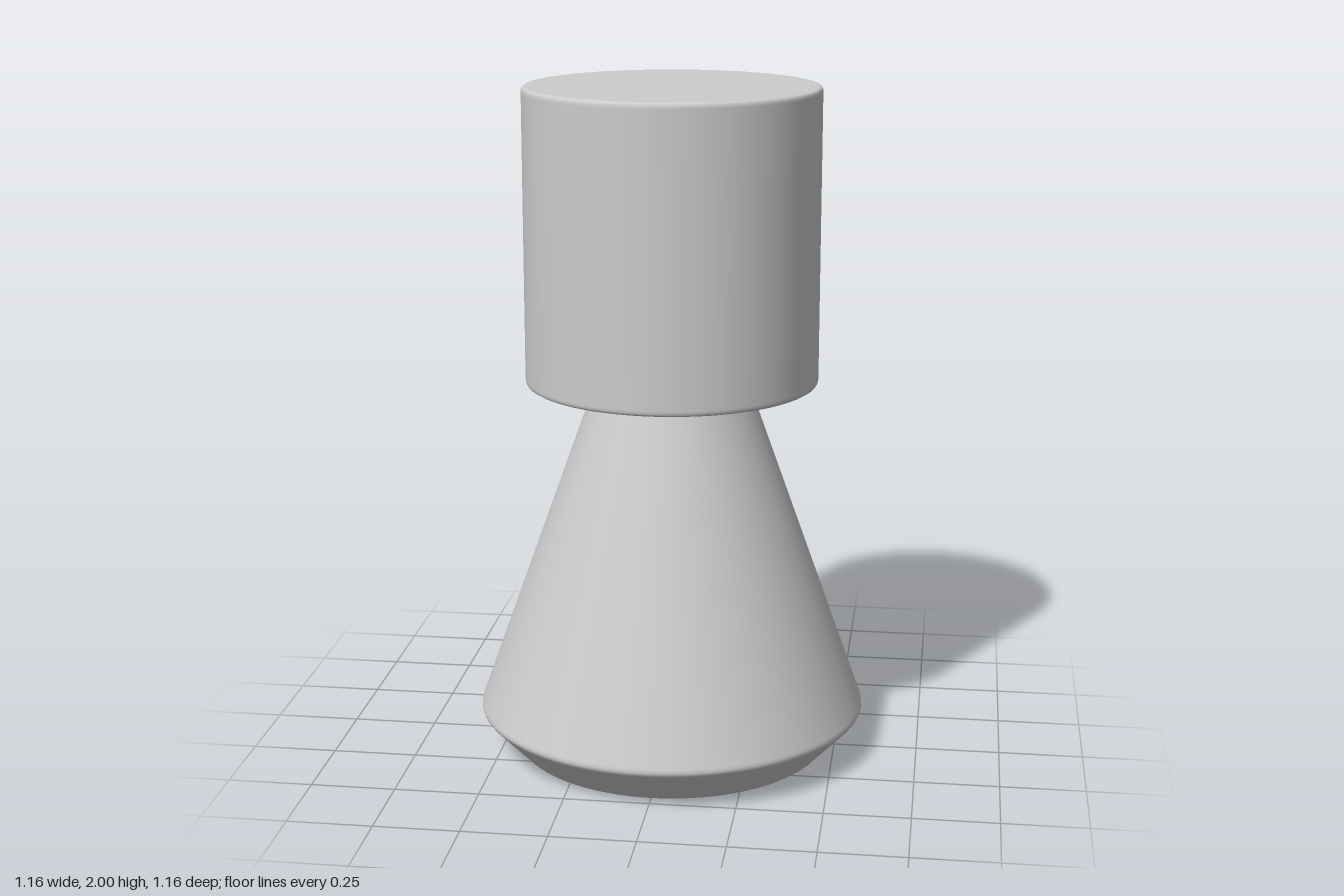
import * as THREE from 'three';

// Turned solid from a bottom-to-top outline [radius, height, rounding].
// Each corner becomes a small curve with a support ring on either side to keep the faces flat.
function turned(outline, material, name) {
  const pts = outline.map(([r, y]) => new THREE.Vector2(r, y));
  const profile = [];
  outline.forEach(([, , round], i) => {
    const p = pts[i];
    if (!round) { profile.push(p); return; }
    const towards = (q, d) => p.clone().add(q.clone().sub(p).setLength(d));
    const a = towards(pts[i - 1], round);
    const b = towards(pts[i + 1], round);
    profile.push(towards(pts[i - 1], round * 1.3));
    profile.push(...new THREE.QuadraticBezierCurve(a, p, b).getPoints(4));
    profile.push(towards(pts[i + 1], round * 1.3));
  });
  const mesh = new THREE.Mesh(new THREE.LatheGeometry(profile, 96), material);
  mesh.name = name;
  return mesh;
}

export function createModel() {
  const grey = new THREE.MeshStandardMaterial({ color: 0xcccccc });
  grey.name = 'light grey';

  const group = new THREE.Group();
  group.name = 'turnedPiece';

  // Flared foot with a chamfered underside, running up into the head
  group.add(turned([
    [0, 0], [0.465, 0, 0.008], [0.583, 0.125, 0.014], [0.218, 1.15, 0.004], [0, 1.15],
  ], grey, 'conicalBase'));

  // Cylindrical head with softened rims
  group.add(turned([
    [0, 1.13], [0.432, 1.13, 0.014], [0.432, 2, 0.014], [0, 2],
  ], grey, 'cylinderHead'));

  return group;
}
